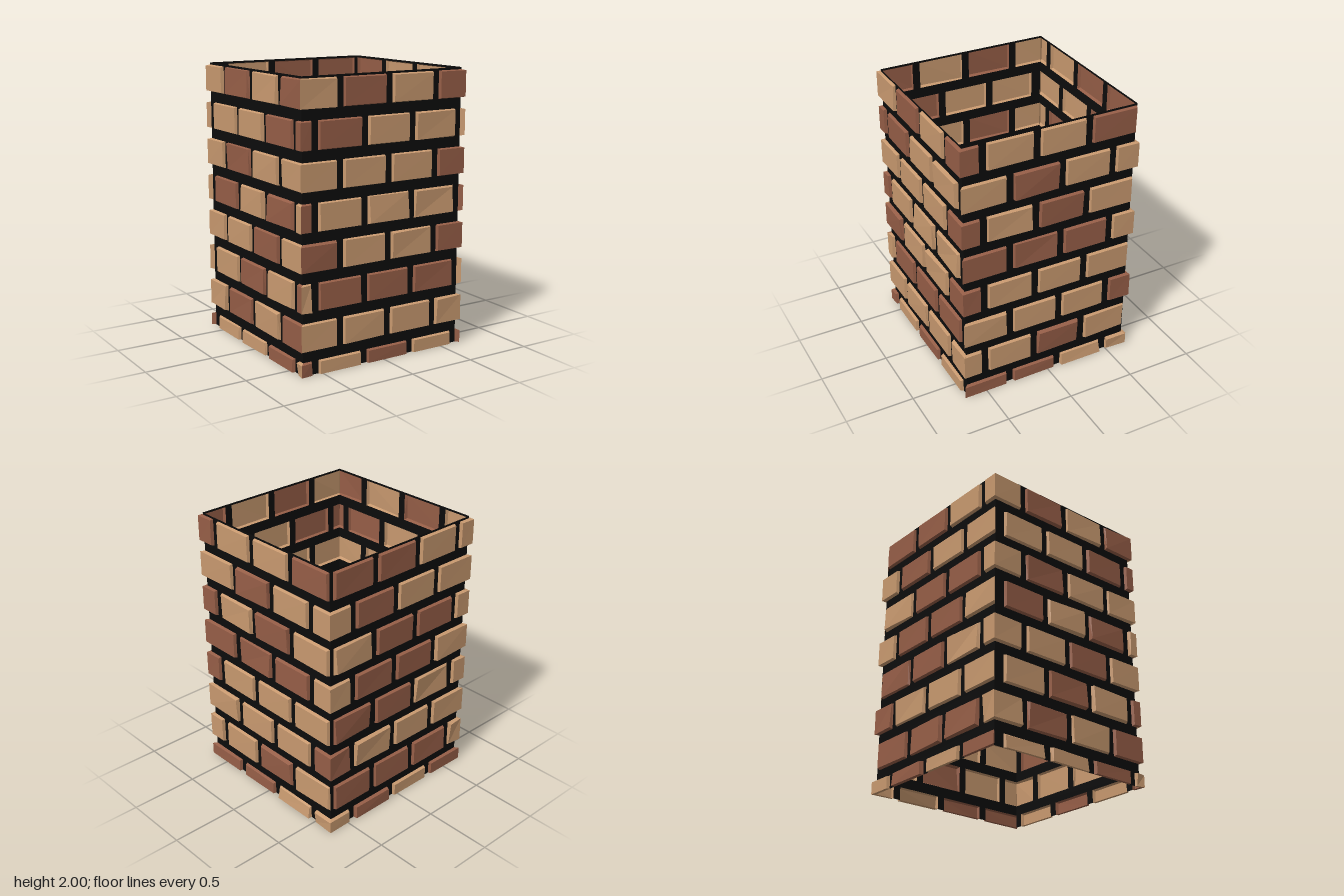
import * as THREE from 'three';

const H = 0.645;        // half width of the mortar shell
const RELIEF = 0.025;   // how far bricks stand out
const PITCH = 0.39, LENGTH = 0.335, COURSE = 0.27, HEIGHT = 0.195;

// First brick position on each side (front, right, back, left) for the two alternating courses
const STARTS = [
  [-0.915, -0.67, -0.815, -0.57],
  [-0.72, -0.865, -0.62, -0.765],
];

// Brick colours per course from the ground up: four bricks for each side, T = tan, R = red
const COURSES = [
  'RTRT RRTT TRTR TTRT',
  'TTTT TTRT RRRT TRTR',
  'TRRR TTTR RTTT TRTR',
  'RTTR RTTT RRTT TTRT',
  'RTTT RRRT TRRT RTRT',
  'TTTR RTRT TRRT TRTT',
  'RRTT TRTT TRTT TTRR',
  'TRTR RTTR RRTT TRTR',
];

let seed = 7;
function random() {
  seed = (seed * 16807) % 2147483647;
  return seed / 2147483647;
}
const jitter = (amount) => (random() - 0.5) * 2 * amount;

// Flat-shaded faces from quads of [u, y, depth] corners
function quads(list) {
  const points = [];
  for (const [a, b, c, d] of list) points.push(...a, ...b, ...c, ...a, ...c, ...d);
  const geometry = new THREE.BufferGeometry();
  geometry.setAttribute('position', new THREE.Float32BufferAttribute(points, 3));
  geometry.computeVertexNormals();
  return geometry;
}

// Uneven bevelled brick, open at the back; ends on a corner are mitred outwards
function brickGeometry(u0, u1, y0, y1) {
  const corners = [[u0, y0, 1, 1], [u1, y0, -1, 1], [u1, y1, -1, -1], [u0, y1, 1, -1]];
  const back = corners.map(([u, y]) => [u, y, H]);
  const uneven = random() < 0.45 ? 0.009 : 0.002;
  const face = corners.map(([u, y, su, sy]) => {
    const mitred = Math.abs(u) >= H;
    const inset = y < 0.03 ? 0 : 0.007;
    return [
      mitred ? u + Math.sign(u) * RELIEF : u + su * 0.007 + jitter(uneven * 0.6),
      y + sy * inset + (inset ? jitter(uneven * 0.6) : 0),
      H + (mitred ? RELIEF : RELIEF - 0.003 + jitter(uneven)),
    ];
  });
  const list = [face];
  for (let i = 0; i < 4; i++) {
    const j = (i + 1) % 4;
    list.push([back[i], back[j], face[j], face[i]]);
  }
  return quads(list);
}

export function createModel() {
  const make = (name, color) =>
    new THREE.MeshStandardMaterial({ name, color, side: THREE.DoubleSide, flatShading: true });
  const tan = make('tan brick', 0xc8996f);
  const red = make('red brick', 0x965e47);
  const black = make('black mortar', 0x0c0c0c);

  const model = new THREE.Group();
  model.name = 'brickShaft';

  for (let side = 0; side < 4; side++) {
    const wall = new THREE.Group();
    wall.name = ['frontWall', 'rightWall', 'backWall', 'leftWall'][side];
    wall.rotation.y = side * Math.PI / 2;
    model.add(wall);

    const mortar = [];
    const patch = (u0, u1, y0, y1) => {
      if (u1 - u0 > 0.001 && y1 - y0 > 0.001)
        mortar.push([[u0, y0, H], [u1, y0, H], [u1, y1, H], [u0, y1, H]]);
    };

    let below = 0.01;
    COURSES.forEach((course, row) => {
      const colours = course.split(' ')[side];
      const y0 = Math.max(0, row * COURSE - 0.1);
      const y1 = row * COURSE - 0.1 + HEIGHT;
      patch(-H, H, below, y0);   // bed joint
      let last = -H;
      for (let i = 0; i < 4; i++) {
        const start = STARTS[row % 2][side] + i * PITCH;
        const u0 = Math.max(-H, start), u1 = Math.min(H, start + LENGTH);
        patch(last, u0, y0, y1);   // upright joint
        const brick = new THREE.Mesh(brickGeometry(u0, u1, y0, y1), colours[i] === 'T' ? tan : red);
        brick.name = 'brick';
        wall.add(brick);
        last = u1;
      }
      patch(last, H, y0, y1);
      below = y1;
    });
    patch(-H, H, below, 2);   // top rim

    const joints = new THREE.Mesh(quads(mortar), black);
    joints.name = 'mortar';
    wall.add(joints);
  }
  return model;
}
